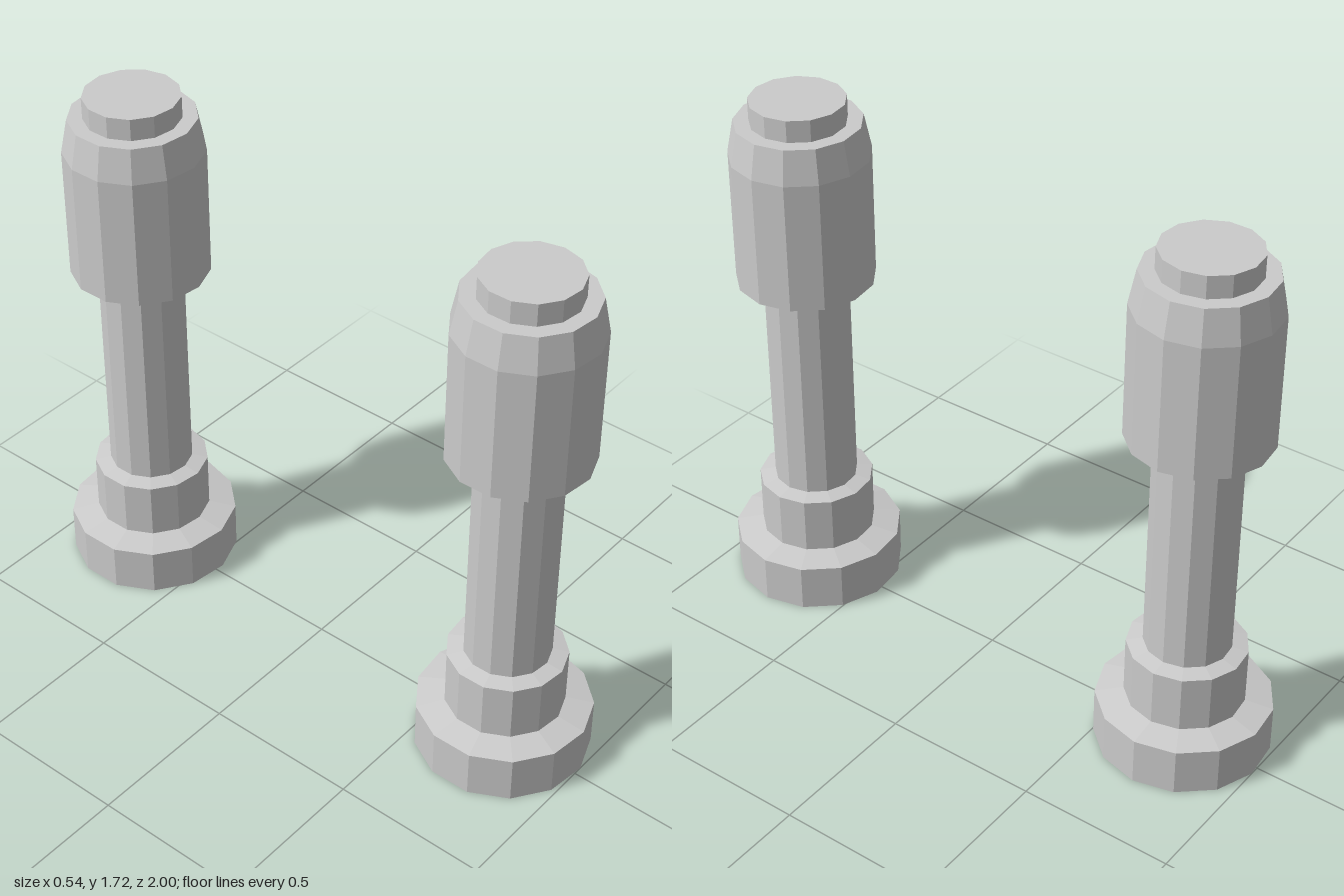
import * as THREE from 'three';

const SIDES = 13;
const material = new THREE.MeshStandardMaterial({ color: 0xcccccc, flatShading: true });

// Outline of each turned part as [radius, height], from bottom to top
const PARTS = {
  foot: [[0, 0], [0.274, 0], [0.274, 0.155], [0.186, 0.173]],
  collar: [[0.186, 0.173], [0.186, 0.36], [0.135, 0.37]],
  shaft: [[0.135, 0.37], [0.135, 1.114]],
  sleeve: [[0.135, 1.114], [0.22, 1.114], [0.22, 1.543], [0.198, 1.653], [0.15, 1.653]],
  cap: [[0.15, 1.653], [0.15, 1.724], [0, 1.724]],
};

// Low-poly turned part with one corner pointing to +x
function turned(name, profile) {
  const points = profile.map(([r, y]) => new THREE.Vector2(r, y));
  const mesh = new THREE.Mesh(new THREE.LatheGeometry(points, SIDES, Math.PI / 2), material);
  mesh.name = name;
  return mesh;
}

function createPost(name, z) {
  const post = new THREE.Group();
  post.name = name;
  for (const [part, profile] of Object.entries(PARTS)) post.add(turned(part, profile));
  // The odd side count makes the post slightly wider towards +x
  post.position.set(-0.004, 0, z);
  return post;
}

export function createModel() {
  const model = new THREE.Group();
  model.name = 'postPair';
  model.add(createPost('frontPost', 0.728), createPost('backPost', -0.728));
  return model;
}
